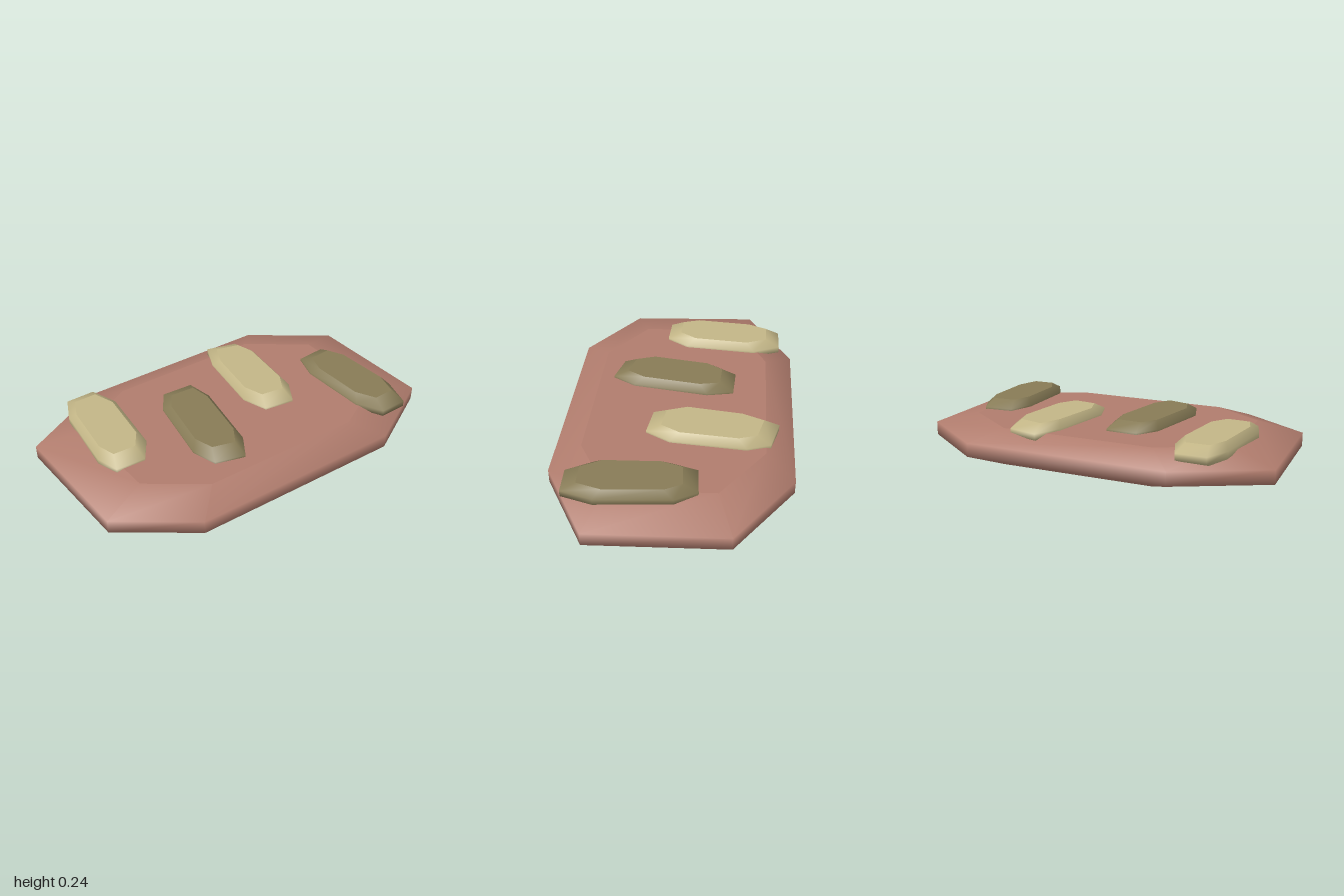
import * as THREE from 'three';

const mat = (name, color) => {
  const m = new THREE.MeshStandardMaterial({ color });
  m.name = name;
  return m;
};

// Bevelled stone: an outline in x/z, four heights, and the scale of its flat caps.
// The rim band is smooth; the caps have their own vertices and stay flat.
function stone(name, outline, heights, inset, material) {
  const n = outline.length;
  const cx = outline.reduce((s, p) => s + p[0], 0) / n;
  const cz = outline.reduce((s, p) => s + p[1], 0) / n;
  const scales = [inset, 1, 1, inset];
  const pos = [], idx = [];
  const ring = (level) => {
    const start = pos.length / 3, s = scales[level];
    for (const [x, z] of outline) pos.push(cx + (x - cx) * s, heights[level], cz + (z - cz) * s);
    return start;
  };

  // Rim: lower bevel, wall, upper bevel
  const rings = [0, 1, 2, 3].map(ring);
  for (let r = 0; r < 3; r++) {
    for (let i = 0; i < n; i++) {
      const j = (i + 1) % n, lo = rings[r], hi = rings[r + 1];
      idx.push(lo + i, hi + i, lo + j, lo + j, hi + i, hi + j);
    }
  }

  // Flat bottom and top
  for (const level of [0, 3]) {
    const start = ring(level);
    for (let i = 1; i < n - 1; i++) {
      if (level === 0) idx.push(start, start + i, start + i + 1);
      else idx.push(start, start + i + 1, start + i);
    }
  }

  const g = new THREE.BufferGeometry();
  g.setAttribute('position', new THREE.Float32BufferAttribute(pos, 3));
  g.setIndex(idx);
  g.computeVertexNormals();
  const mesh = new THREE.Mesh(g, material);
  mesh.name = name;
  return mesh;
}

export function createModel() {
  const group = new THREE.Group();
  group.name = 'studdedSlab';
  const clay = mat('clay red', 0xb07c6d);
  const sand = mat('pale sand', 0xc2b586);
  const olive = mat('dark olive', 0x877b56);

  // Broad base slab
  group.add(stone('baseSlab', [
    [-1, -0.31], [-0.57, -0.575], [0.52, -0.632], [0.94, -0.36],
    [1, 0.335], [0.59, 0.585], [-0.54, 0.627], [-0.925, 0.38],
  ], [0, 0.063, 0.135, 0.195], 0.76, clay));

  // Four long pads, alternating in colour and sunk into the slab
  const pads = [
    [[-0.735, -0.495], [-0.58, -0.505], [-0.515, -0.36], [-0.53, 0.03],
      [-0.6, 0.15], [-0.755, 0.15], [-0.8, 0.03], [-0.785, -0.36]],
    [[-0.265, -0.275], [-0.095, -0.275], [-0.06, -0.135], [-0.1, 0.27],
      [-0.165, 0.395], [-0.32, 0.36], [-0.37, 0.23], [-0.33, -0.16]],
    [[0.17, -0.535], [0.34, -0.5], [0.385, -0.38], [0.37, 0.01],
      [0.305, 0.14], [0.14, 0.125], [0.085, -0.01], [0.115, -0.385]],
    [[0.575, -0.16], [0.735, -0.18], [0.8, -0.07], [0.845, 0.305],
      [0.805, 0.47], [0.655, 0.48], [0.575, 0.35], [0.54, -0.02]],
  ];
  pads.forEach((outline, i) => {
    group.add(stone(`pad${i + 1}`, outline, [0.14, 0.172, 0.205, 0.242], 0.77, i % 2 ? olive : sand));
  });
  return group;
}
